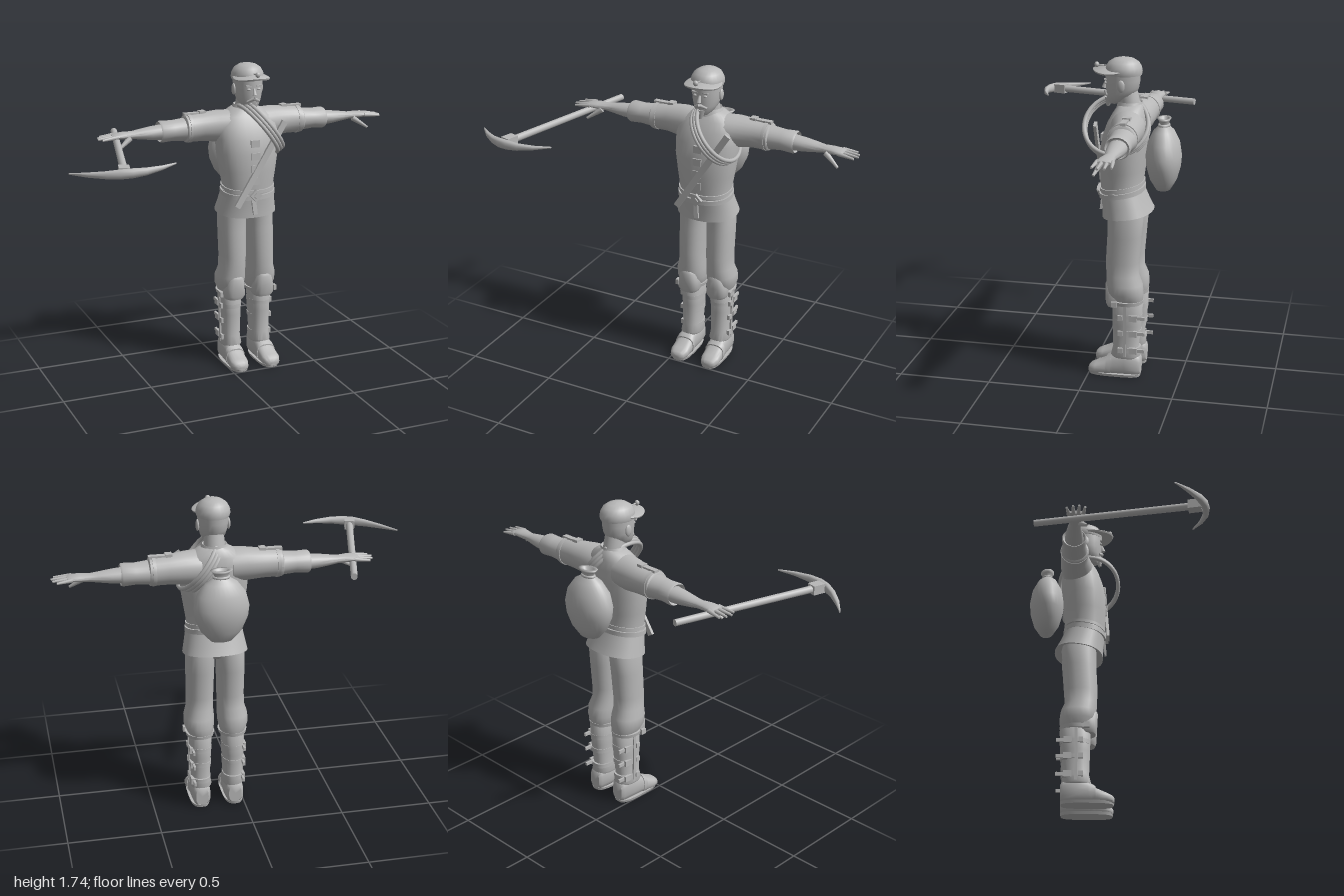
import * as THREE from 'three';
import { toCreasedNormals } from 'three/addons/utils/BufferGeometryUtils.js';

const grey = new THREE.MeshStandardMaterial({ color: 0xb8b8b8 });
grey.name = 'plain grey';

// Closed skin over rings [t, centreU, centreV, radiusU, radiusV] along an axis.
// y: U=x V=z; x: U=y V=z; z: U=x V=y. Exponent e below 1 gives squarer sections.
function loft(axis, rings, n = 24, e = 1) {
  const pos = [], idx = [];
  const pw = (v) => Math.sign(v) * Math.abs(v) ** e;
  const put = (t, u, v) => pos.push(...(axis === 'y' ? [u, t, v] : axis === 'x' ? [t, u, v] : [u, v, t]));
  for (const [t, cu, cv, ru, rv] of rings) {
    for (let j = 0; j < n; j++) {
      const a = (j / n) * Math.PI * 2, c = pw(Math.cos(a)), s = pw(Math.sin(a));
      if (axis === 'y') put(t, cu + ru * c, cv + rv * s);
      else put(t, cu + ru * s, cv + rv * c);
    }
  }
  const last = (rings.length - 1) * n;
  for (const r of [rings[0], rings[rings.length - 1]]) put(r[0], r[1], r[2]);
  for (let j = 0; j < n; j++) {
    const k = (j + 1) % n;
    for (let i = 0; i < last; i += n) idx.push(i + j, i + n + j, i + k, i + k, i + n + j, i + n + k);
    idx.push(last + n, j, k, last + n + 1, last + k, last + j);
  }
  const g = new THREE.BufferGeometry();
  g.setAttribute('position', new THREE.Float32BufferAttribute(pos, 3));
  g.setIndex(idx);
  return toCreasedNormals(g, 0.75);
}

// Moves each vertex by a rule
function warp(g, rule) {
  const p = g.attributes.position, v = new THREE.Vector3();
  for (let i = 0; i < p.count; i++) {
    rule(v.fromBufferAttribute(p, i));
    p.setXYZ(i, v.x, v.y, v.z);
  }
  return g;
}

const box = (w, h, d, x, y, z, rz = 0, rx = 0) =>
  new THREE.BoxGeometry(w, h, d).rotateX(rx).rotateZ(rz).translate(x, y, z);
const ball = (rx, ry, rz, x, y, z) =>
  new THREE.SphereGeometry(1, 16, 12).scale(rx, ry, rz).translate(x, y, z);

// Tapered rod between two points
function rod(a, b, r0, r1, n = 10) {
  const A = new THREE.Vector3(...a), B = new THREE.Vector3(...b), d = B.clone().sub(A);
  const g = new THREE.CylinderGeometry(r1, r0, d.length(), n);
  g.applyQuaternion(new THREE.Quaternion().setFromUnitVectors(new THREE.Vector3(0, 1, 0), d.normalize()));
  return g.translate(...A.add(B).multiplyScalar(0.5).toArray());
}

// Mirror in x with the corner order restored
function mirrored(geo) {
  const g = geo.index ? geo.toNonIndexed() : geo.clone();
  for (const name of ['position', 'normal']) {
    const a = g.attributes[name];
    for (let i = 0; i < a.count; i++) a.setX(i, -a.getX(i));
    for (let i = 0; i < a.count; i += 3) {
      const b = [a.getX(i + 1), a.getY(i + 1), a.getZ(i + 1)];
      a.setXYZ(i + 1, a.getX(i + 2), a.getY(i + 2), a.getZ(i + 2));
      a.setXYZ(i + 2, ...b);
    }
  }
  return g;
}

export function createModel() {
  const root = new THREE.Group(), body = new THREE.Group();
  root.name = 'miner';
  body.name = 'figure';
  body.position.x = 0.145;
  root.add(body);
  const add = (name, g, parent = body) => {
    const m = new THREE.Mesh(g, grey);
    m.name = name;
    parent.add(m);
  };
  const pair = (name, g) => { add(name + 'Left', g); add(name + 'Right', mirrored(g)); };

  // Jacket, flared skirt, collar
  add('jacket', loft('y', [[1.0, 0, -0.165, 0.145, 0.11], [1.06, 0, -0.16, 0.145, 0.11], [1.15, 0, -0.163, 0.16, 0.118],
    [1.25, 0, -0.168, 0.176, 0.123], [1.33, 0, -0.178, 0.18, 0.118], [1.4, 0, -0.19, 0.18, 0.105],
    [1.45, 0, -0.2, 0.15, 0.088], [1.485, 0, -0.205, 0.09, 0.07], [1.5, 0, -0.205, 0.06, 0.06]], 32, 0.88));
  add('jacketSkirt', warp(loft('y', [[0.91, 0, -0.195, 0.15, 0.12], [0.905, 0, -0.195, 0.174, 0.135], [0.96, 0, -0.182, 0.163, 0.124],
    [1.04, 0, -0.162, 0.148, 0.114]], 32, 0.88), (v) => { v.y -= (v.z + 0.19) * 0.13 * (1.04 - v.y) / 0.13; }));
  add('collar', loft('y', [[1.465, 0, -0.2, 0.085, 0.075], [1.51, 0, -0.2, 0.064, 0.064], [1.5, 0, -0.2, 0.05, 0.055]]));
  for (const y of [1.1, 1.17, 1.24, 1.31]) add('jacketFastener', box(0.05, 0.04, 0.014, 0, y, -0.047 - Math.max(0, y - 1.25) * 0.12 + (y < 1.15 ? -0.002 : 0)));

  // Belt
  for (const [y, h, r] of [[1.025, 0.026, 0.012], [1.056, 0.018, 0.009]]) {
    add('belt', warp(loft('y', [[y - h / 2, 0, -0.162, 0.143 + r, 0.108 + r], [y + h / 2, 0, -0.162, 0.143 + r, 0.108 + r]], 32, 0.88),
      (v) => { v.y -= (v.z + 0.16) * 0.16; }));
  }
  add('beltBuckle', box(0.05, 0.05, 0.02, 0, 1.02, -0.04, Math.PI / 4));
  add('buckleCentre', box(0.025, 0.025, 0.02, 0, 1.02, -0.033, Math.PI / 4));
  add('beltTail', box(0.025, 0.1, 0.012, -0.005, 0.96, -0.05, 0.1, -0.1));

  // Arms
  pair('sleeve', loft('x', [[0.08, 1.39, -0.2, 0.09, 0.095], [0.16, 1.392, -0.215, 0.088, 0.088], [0.25, 1.392, -0.225, 0.078, 0.076],
    [0.31, 1.39, -0.225, 0.076, 0.074], [0.345, 1.388, -0.225, 0.074, 0.076], [0.352, 1.386, -0.226, 0.062, 0.07]]));
  pair('sleeveCuff', loft('x', [[0.335, 1.386, -0.227, 0.064, 0.072], [0.42, 1.385, -0.228, 0.056, 0.064], [0.485, 1.384, -0.229, 0.06, 0.067],
    [0.495, 1.384, -0.229, 0.055, 0.062], [0.48, 1.383, -0.229, 0.044, 0.05]]));
  pair('forearm', loft('x', [[0.45, 1.382, -0.229, 0.044, 0.052], [0.54, 1.381, -0.229, 0.037, 0.047], [0.61, 1.381, -0.228, 0.027, 0.037],
    [0.65, 1.381, -0.226, 0.021, 0.031], [0.7, 1.383, -0.222, 0.02, 0.04], [0.75, 1.384, -0.22, 0.015, 0.044], [0.765, 1.383, -0.22, 0.009, 0.04]], 20));
  [[-0.258, 0.82], [-0.233, 0.84], [-0.208, 0.845], [-0.184, 0.83]].forEach(([z, x]) =>
    pair('finger', rod([0.74, 1.384, z], [x, 1.376, z + (z + 0.22) * 0.3], 0.012, 0.006, 8)));
  pair('thumb', rod([0.67, 1.37, -0.195], [0.75, 1.315, -0.165], 0.017, 0.007, 8));
  pair('epaulette', box(0.12, 0.014, 0.03, 0.29, 1.468, -0.228));
  pair('epauletteBuckle', box(0.035, 0.022, 0.042, 0.245, 1.47, -0.228));
  pair('sleeveBand', loft('x', [[0.315, 1.39, -0.225, 0.079, 0.078], [0.333, 1.39, -0.225, 0.079, 0.079]]));

  // Trousers and legs
  pair('trouserLeg', loft('y', [[0.4, 0.09, -0.21, 0.05, 0.07], [0.44, 0.088, -0.21, 0.068, 0.082], [0.48, 0.093, -0.2, 0.081, 0.096],
    [0.53, 0.092, -0.193, 0.082, 0.097], [0.58, 0.086, -0.182, 0.073, 0.088], [0.65, 0.084, -0.18, 0.073, 0.09],
    [0.8, 0.083, -0.19, 0.076, 0.092], [0.9, 0.08, -0.195, 0.078, 0.096], [1.0, 0.07, -0.18, 0.07, 0.09]], 24, 0.9));
  add('trouserSeat', ball(0.1, 0.07, 0.09, 0, 0.93, -0.195));
  pair('gaiter', loft('y', [[0.11, 0.09, -0.202, 0.056, 0.076], [0.12, 0.09, -0.202, 0.061, 0.081], [0.17, 0.09, -0.203, 0.053, 0.07],
    [0.3, 0.09, -0.208, 0.058, 0.079], [0.42, 0.09, -0.21, 0.062, 0.083], [0.435, 0.09, -0.21, 0.056, 0.076]], 24, 0.85));
  pair('kneeGuard', loft('y', [[0.4, 0.088, -0.155, 0.052, 0.055], [0.42, 0.088, -0.15, 0.064, 0.057], [0.47, 0.088, -0.15, 0.06, 0.06],
    [0.52, 0.086, -0.15, 0.05, 0.062], [0.535, 0.086, -0.15, 0.04, 0.055]], 20, 0.75));
  pair('kneeStrap', loft('y', [[0.42, 0.09, -0.205, 0.075, 0.087], [0.44, 0.09, -0.205, 0.079, 0.09]]));
  pair('kneeBuckle', box(0.016, 0.03, 0.03, 0.165, 0.43, -0.15));
  pair('gaiterSeam', box(0.01, 0.3, 0.016, 0.149, 0.275, -0.205, -0.02));
  [[0.35, 0.061, 0.082], [0.26, 0.058, 0.078], [0.16, 0.056, 0.074]].forEach(([y, rx, rz]) => {
    pair('gaiterStrap', loft('y', [[y - 0.012, 0.09, -0.21, rx, rz], [y + 0.012, 0.09, -0.21, rx, rz]], 24, 0.85));
    pair('strapBuckle', box(0.016, 0.028, 0.026, 0.09 + rx, y, -0.18));
    pair('strapTail', box(0.016, 0.034, 0.045, 0.086 + rx, y, -0.25));
    pair('strapTip', box(0.012, 0.018, 0.05, 0.078 + rx, y, -0.287));
  });

  // Shoes
  pair('shoe', loft('z', [[-0.285, 0.092, 0.065, 0.035, 0.05], [-0.27, 0.092, 0.068, 0.048, 0.065], [-0.2, 0.092, 0.075, 0.054, 0.073],
    [-0.14, 0.094, 0.065, 0.052, 0.062], [-0.09, 0.096, 0.046, 0.054, 0.043], [-0.04, 0.097, 0.034, 0.054, 0.031],
    [-0.01, 0.097, 0.028, 0.042, 0.024], [0, 0.097, 0.025, 0.025, 0.015]], 20, 0.75));
  pair('sole', loft('y', [[0, 0.094, -0.143, 0.052, 0.14], [0.016, 0.094, -0.143, 0.057, 0.143]], 24, 0.65));
  pair('shoeStrap', loft('z', [[-0.125, 0.095, 0.06, 0.056, 0.06], [-0.1, 0.095, 0.052, 0.057, 0.052]], 20, 0.75));

  // Head and face
  add('neck', rod([0, 1.45, -0.205], [0, 1.56, -0.185], 0.058, 0.052, 20));
  add('head', loft('y', [[1.495, 0, -0.115, 0.025, 0.025], [1.515, 0, -0.13, 0.048, 0.052], [1.545, 0, -0.15, 0.066, 0.076],
    [1.58, 0, -0.158, 0.075, 0.087], [1.62, 0, -0.16, 0.079, 0.092], [1.67, 0, -0.162, 0.08, 0.092]]));
  add('nose', rod([0, 1.612, -0.07], [0, 1.575, -0.06], 0.006, 0.013, 8));
  add('goatee', rod([0, 1.525, -0.088], [0, 1.478, -0.08], 0.026, 0.008));
  pair('moustache', rod([0, 1.556, -0.07], [0.036, 1.54, -0.084], 0.011, 0.006, 8));
  pair('eye', ball(0.012, 0.007, 0.007, 0.029, 1.608, -0.075));
  pair('brow', box(0.032, 0.008, 0.012, 0.031, 1.626, -0.074, 0.1));
  pair('ear', ball(0.01, 0.032, 0.02, 0.081, 1.6, -0.165));

  // Cap
  add('cap', loft('y', [[1.65, 0, -0.165, 0.085, 0.095], [1.665, 0, -0.165, 0.09, 0.098], [1.69, 0, -0.165, 0.086, 0.094],
    [1.715, 0, -0.165, 0.072, 0.08], [1.732, 0, -0.165, 0.047, 0.053], [1.74, 0, -0.165, 0.015, 0.02]]));
  add('capBrim', warp(loft('y', [[1.672, 0, -0.11, 0.095, 0.104], [1.682, 0, -0.11, 0.1, 0.108], [1.686, 0, -0.11, 0.094, 0.102]], 32),
    (v) => { v.y -= v.x * v.x * 1.8 + (v.z + 0.1) * 0.06; }));
  add('capBadge', ball(0.014, 0.015, 0.012, 0, 1.695, -0.021));
  add('badgePin', rod([0, 1.69, -0.09], [0, 1.695, -0.022], 0.004, 0.004, 6));

  // Coil of rope across the chest
  const normal = new THREE.Vector3(0.8, 0.6, 0);
  const turn = new THREE.Quaternion().setFromUnitVectors(new THREE.Vector3(0, 0, 1), normal);
  for (const s of [-0.019, 0, 0.019]) {
    add('ropeCoil', new THREE.TorusGeometry(0.168, 0.0115, 8, 48).applyQuaternion(turn)
      .translate(0.065 + normal.x * s, 1.385 + normal.y * s, -0.14));
  }
  // Flat strap from shoulder to hip
  add('chestStrap', box(0.034, 0.54, 0.016, 0.03, 1.193, -0.042, -0.567, -0.03));

  // Flask on the back
  const flask = [[0, 1.035], [0.06, 1.045], [0.11, 1.1], [0.14, 1.17], [0.147, 1.23], [0.13, 1.3], [0.085, 1.36], [0.04, 1.388],
    [0.036, 1.395], [0.045, 1.415], [0.058, 1.428], [0.035, 1.428], [0.028, 1.4], [0, 1.395]].map((p) => new THREE.Vector2(...p));
  add('flask', new THREE.LatheGeometry(flask, 28).scale(1, 1, 0.65).rotateY(0.1).translate(0, 0, -0.38));
  add('flaskCord', new THREE.TorusGeometry(0.038, 0.008, 8, 24).rotateX(Math.PI / 2).scale(1, 1, 0.7).translate(0, 1.39, -0.38));

  // Pickaxe
  const pick = new THREE.Group();
  pick.name = 'pickaxe';
  root.add(pick);
  add('pickHandle', rod([-0.537, 1.36, -0.44], [-0.765, 1.352, 0.44], 0.018, 0.02, 12), pick);
  add('pickSocket', box(0.055, 0.05, 0.07, 0, 0, 0).rotateY(-0.25).translate(-0.753, 1.353, 0.39), pick);
  add('pickHead', loft('x', [[-1, 1.335, 0.27, 0.004, 0.005], [-0.93, 1.339, 0.34, 0.012, 0.016], [-0.85, 1.345, 0.402, 0.02, 0.02],
    [-0.79, 1.35, 0.433, 0.025, 0.021], [-0.73, 1.354, 0.448, 0.025, 0.021], [-0.66, 1.358, 0.455, 0.02, 0.015],
    [-0.57, 1.364, 0.438, 0.012, 0.01], [-0.485, 1.37, 0.403, 0.004, 0.004]], 12, 0.8), pick);
  return root;
}
